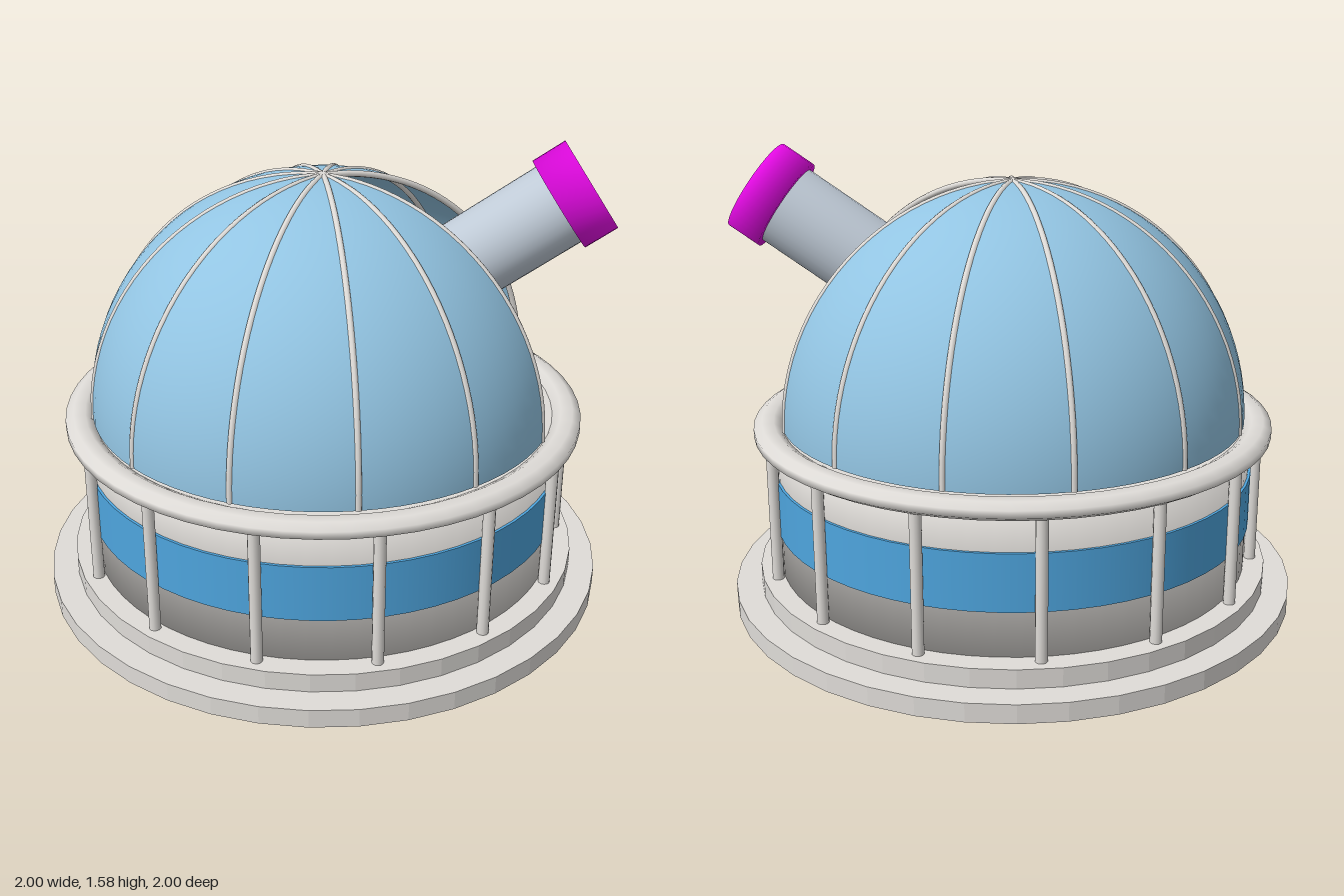
import * as THREE from 'three';
import { mergeVertices } from 'three/addons/utils/BufferGeometryUtils.js';

const mat = (name, color, side = THREE.FrontSide) => {
  const m = new THREE.MeshStandardMaterial({ color, side });
  m.name = name;
  return m;
};

// One normal per face, for faceted parts
function faceted(geo) {
  const g = geo.toNonIndexed();
  g.computeVertexNormals();
  return g;
}

// Normals shared over every edge, for softly shaded parts
function softened(geo) {
  geo.deleteAttribute('uv');
  geo.deleteAttribute('normal');
  const g = mergeVertices(geo, 1e-4);
  g.computeVertexNormals();
  return g;
}

export function createModel() {
  const model = new THREE.Group();
  model.name = 'observatory';

  const stone = mat('stone', 0xdfdcd8, THREE.DoubleSide);
  const domeBlue = mat('domeBlue', 0x92c4e2, THREE.DoubleSide);
  const bandBlue = mat('bandBlue', 0x4ea5de);
  const tubeGrey = mat('tubeGrey', 0xbfcad6);
  const magenta = mat('magenta', 0xe60ae6);

  const add = (name, geo, material, y = 0, parent = model) => {
    const mesh = new THREE.Mesh(geo, material);
    mesh.name = name;
    mesh.position.y = y;
    parent.add(mesh);
    return mesh;
  };

  // Stepped base, a shell open underneath
  const stepProfile = [[1, 0], [1, 0.065], [0.91, 0.065], [0.91, 0.13], [0, 0.13]]
    .map(([r, y]) => new THREE.Vector2(r, y));
  add('steppedBase', faceted(new THREE.LatheGeometry(stepProfile, 40)), stone);

  // Drum wall, floor and painted band
  add('drumWall', softened(new THREE.CylinderGeometry(0.837, 0.837, 0.508, 64)), stone, 0.386);
  const floor = add('floor', new THREE.CircleGeometry(0.85, 64), stone, 0.645);
  floor.rotation.x = -Math.PI / 2;
  add('wallBand', new THREE.CylinderGeometry(0.846, 0.846, 0.195, 64), bandBlue, 0.385);

  // Posts around the drum
  const step = (Math.PI * 2) / 14;
  const postGeo = new THREE.CylinderGeometry(0.02, 0.02, 0.49, 12);
  for (let i = 0; i < 14; i++) {
    const post = add('post', postGeo, stone, 0.37);
    post.position.x = 0.86 * Math.cos(i * step);
    post.position.z = 0.86 * Math.sin(i * step);
  }

  // Rail on top of the posts, a flattened octagon in section
  const railProfile = [];
  for (let i = 0; i <= 8; i++) {
    const a = (i + 0.5) * Math.PI / 4;
    railProfile.push(new THREE.Vector2(0.86 + 0.053 * Math.cos(a), 0.634 + 0.033 * Math.sin(a)));
  }
  add('topRail', softened(new THREE.LatheGeometry(railProfile, 56)), stone);

  // Dome with a wedge left open
  const R = 0.815, domeY = 0.66, sweep = 5.4;
  add('domeShell', new THREE.SphereGeometry(R, 66, 24, Math.PI, sweep, 0, Math.PI / 2), domeBlue, domeY);

  // Ribs from rim to crown, partly sunk into the shell
  const ribPoints = [];
  for (let i = 0; i <= 12; i++) {
    const t = (i / 12) * Math.PI / 2;
    ribPoints.push(new THREE.Vector3(0.811 * Math.cos(t), 0.811 * Math.sin(t), 0));
  }
  const ribGeo = new THREE.TubeGeometry(new THREE.CatmullRomCurve3(ribPoints), 28, 0.011, 8);
  for (let i = 0; i < 12; i++) {
    add('domeRib', ribGeo, stone, domeY).rotation.y = (i * sweep) / 11;
  }

  // Telescope on its round mount, aimed through the opening
  add('telescopeMount', softened(new THREE.CylinderGeometry(0.2, 0.2, 0.19, 32)), tubeGrey, 0.735);
  const telescope = new THREE.Group();
  telescope.name = 'telescope';
  telescope.position.y = 0.845;
  const azimuth = 0.44, elevation = 0.59;
  const aim = new THREE.Vector3(
    Math.cos(elevation) * Math.cos(azimuth), Math.sin(elevation), Math.cos(elevation) * Math.sin(azimuth));
  telescope.quaternion.setFromUnitVectors(new THREE.Vector3(0, 1, 0), aim);
  model.add(telescope);
  add('telescopeTube', softened(new THREE.CylinderGeometry(0.147, 0.147, 1.04, 32)), tubeGrey, 0.47, telescope);
  add('telescopeCap', softened(new THREE.CylinderGeometry(0.17, 0.17, 0.125, 32)), magenta, 1.013, telescope);

  return model;
}
